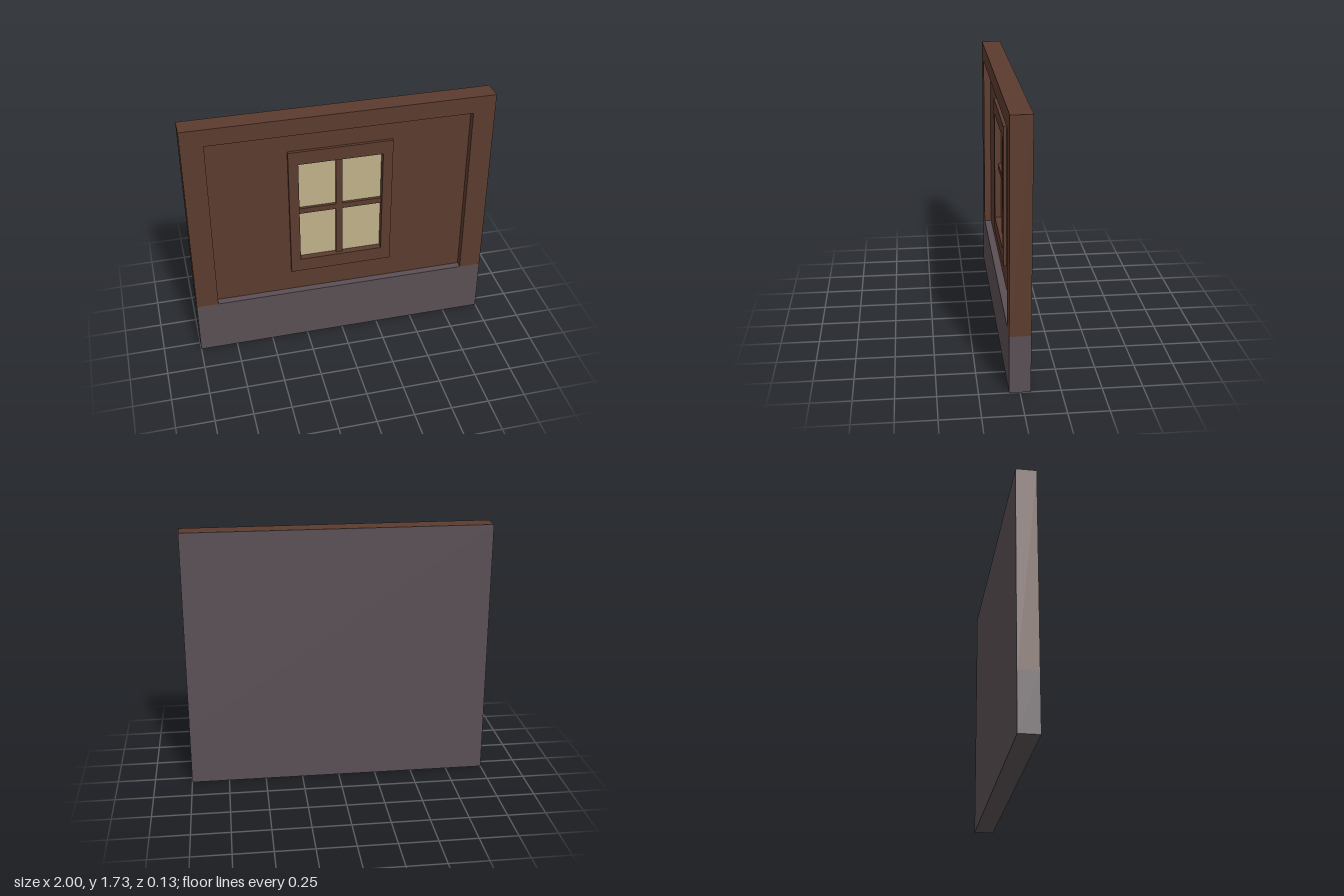
import * as THREE from 'three';

const timber = new THREE.MeshStandardMaterial({ color: 0x5b3b2e });
timber.name = 'brown timber';
const stone = new THREE.MeshStandardMaterial({ color: 0x594f54 });
stone.name = 'grey stone';
const glass = new THREE.MeshStandardMaterial({ color: 0xc0b18a });
glass.name = 'pale window glass';

const HALF_DEPTH = 0.066, TOP = 1.725, BASE_TOP = 0.378;
const BACK = -0.063; // front of the thin rear facing

// Box given by its limits on each axis
function box(name, material, [x0, x1], [y0, y1], [z0, z1]) {
  const mesh = new THREE.Mesh(new THREE.BoxGeometry(x1 - x0, y1 - y0, z1 - z0), material);
  mesh.position.set((x0 + x1) / 2, (y0 + y1) / 2, (z0 + z1) / 2);
  mesh.name = name;
  return mesh;
}

function rect(Type, halfWidth, y0, y1) {
  const r = new Type();
  r.moveTo(-halfWidth, y0);
  r.lineTo(halfWidth, y0);
  r.lineTo(halfWidth, y1);
  r.lineTo(-halfWidth, y1);
  r.closePath();
  return r;
}

// Slab with a rectangular opening, from the rear facing to a front plane
function ring(name, outer, inner, front) {
  const shape = rect(THREE.Shape, ...outer);
  shape.holes.push(rect(THREE.Path, ...inner));
  const geometry = new THREE.ExtrudeGeometry(shape, { depth: front - BACK, bevelEnabled: false });
  geometry.translate(0, 0, BACK);
  const mesh = new THREE.Mesh(geometry, timber);
  mesh.name = name;
  return mesh;
}

export function createModel() {
  const model = new THREE.Group();
  model.name = 'windowWall';

  // Stone footing and rear facing
  model.add(
    box('stoneBase', stone, [-1, 1], [0, BASE_TOP], [-HALF_DEPTH, HALF_DEPTH]),
    box('rearFacing', stone, [-1, 1], [BASE_TOP, TOP], [-HALF_DEPTH, BACK])
  );

  // Posts and top beam around the recess
  const surround = new THREE.Shape();
  [[-1, BASE_TOP], [-0.855, BASE_TOP], [-0.855, 1.61], [0.855, 1.61],
    [0.855, BASE_TOP], [1, BASE_TOP], [1, TOP], [-1, TOP]]
    .forEach(([x, y], i) => (i ? surround.lineTo(x, y) : surround.moveTo(x, y)));
  const surroundGeometry = new THREE.ExtrudeGeometry(surround, { depth: HALF_DEPTH - BACK, bevelEnabled: false });
  surroundGeometry.translate(0, 0, BACK);
  const posts = new THREE.Mesh(surroundGeometry, timber);
  posts.name = 'postsAndBeam';
  model.add(posts);

  // Recessed panel and raised window frame
  const frame = [0.342, 0.535, 1.47], opening = [0.277, 0.63, 1.377];
  model.add(
    ring('recessedPanel', [0.855, BASE_TOP, 1.61], frame, 0.018),
    ring('windowFrame', frame, opening, 0.038)
  );

  // Glass and glazing bars
  const [w, y0, y1] = opening;
  model.add(
    box('windowGlass', glass, [-w, w], [y0, y1], [-0.012, -0.006]),
    box('verticalBar', timber, [-0.028, 0.016], [y0, y1], [-0.006, 0.014]),
    box('horizontalBar', timber, [-w, w], [0.985, 1.024], [-0.006, 0.0135])
  );
  return model;
}
